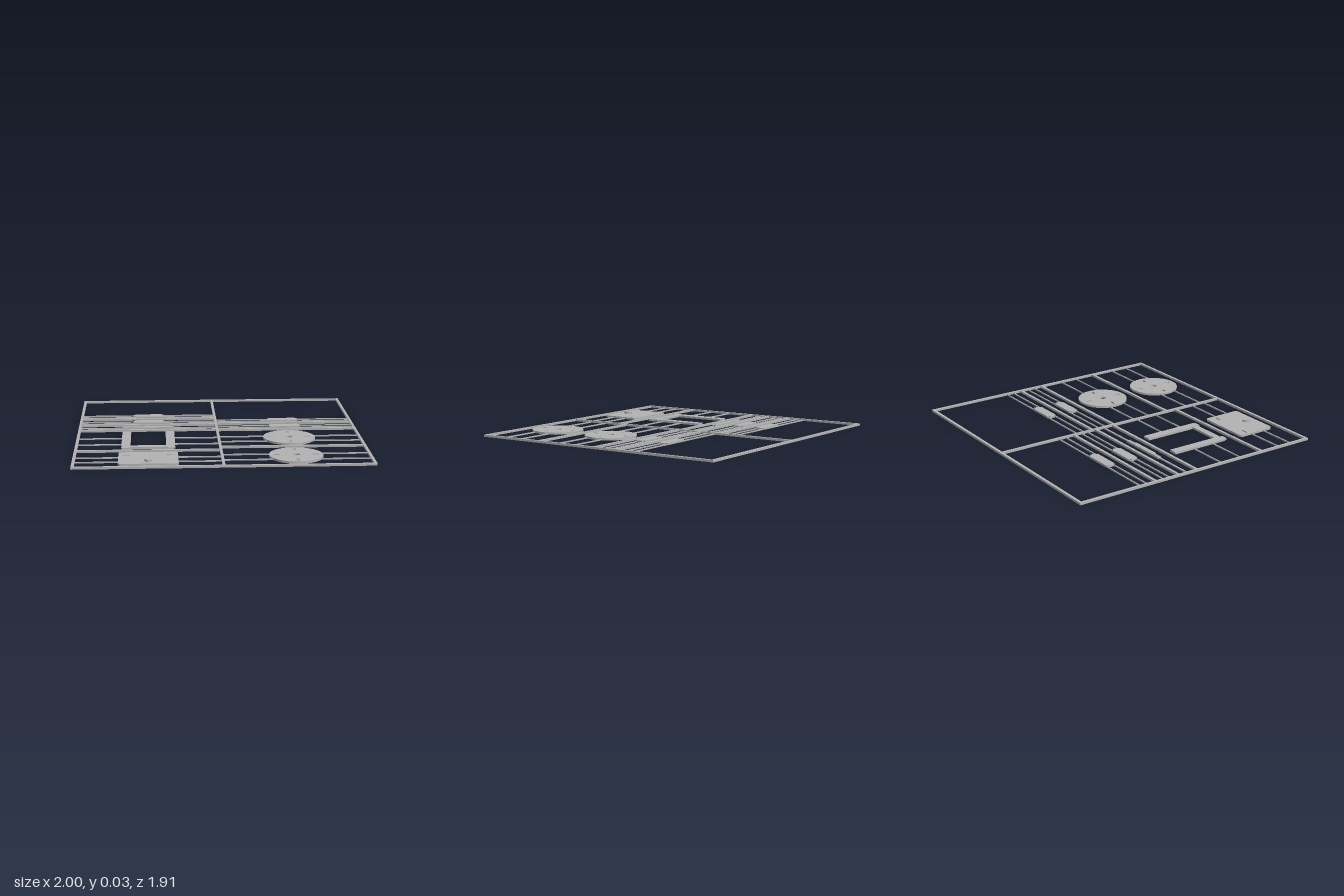
import * as THREE from 'three';

const T = 0.015; // sheet thickness

export function createModel() {
  const root = new THREE.Group();
  root.name = 'partsSheet';
  const grey = new THREE.MeshStandardMaterial({ color: 0xb3b3b3 });
  grey.name = 'plastic grey';

  const add = (name, geometry) => {
    const mesh = new THREE.Mesh(geometry, grey);
    mesh.name = name;
    root.add(mesh);
    return mesh;
  };
  // Box standing on y = 0, given by its x and z limits
  const slab = (name, x0, x1, z0, z1, h = T) =>
    add(name, new THREE.BoxGeometry(x1 - x0, h, z1 - z0)
      .translate((x0 + x1) / 2, h / 2, (z0 + z1) / 2));
  // Flat plate from a shape drawn with x right and y = -z
  const plate = (name, shape, x, z) => {
    const g = new THREE.ExtrudeGeometry(shape, { depth: T, bevelEnabled: false, curveSegments: 32 });
    return add(name, g.rotateX(-Math.PI / 2).translate(x, 0, z));
  };
  const rectHole = (x, y, w, h) => new THREE.Path([
    [-1, -1], [-1, 1], [1, 1], [1, -1], [-1, -1],
  ].map(([a, b]) => new THREE.Vector2(x + a * w / 2, y + b * h / 2)));

  // Outer frame and central divider
  slab('frameBack', -1, 1, -0.955, -0.935);
  slab('frameFront', -1, 1, 0.932, 0.952);
  slab('frameRight', -1, -0.981, -0.935, 0.932);
  slab('frameLeft', 0.981, 1, -0.935, 0.932);
  slab('divider', -0.013, 0.006, -0.935, 0.932);

  // Thick crossbars
  for (const z of [-0.36, -0.175, -0.025, 0.535]) slab('crossbar', -0.981, -0.013, z - 0.01, z + 0.01);
  for (const z of [-0.198, -0.013, 0.463]) slab('crossbar', 0.006, 0.981, z - 0.01, z + 0.01);

  // Thin runners from the frame up to each part: [z, part x0, part x1]
  const runner = (z, x0, x1, w = 0.008) => {
    const [a, b] = x0 < 0 ? [-0.981, -0.013] : [0.006, 0.981];
    slab('runner', a, x0, z - w / 2, z + w / 2, 0.009);
    slab('runner', x1, b, z - w / 2, z + w / 2, 0.009);
  };
  for (const z of [-0.48, -0.425, -0.293, -0.243]) runner(z, -0.59, -0.4);
  for (const z of [-0.32, -0.263, -0.133, -0.078]) runner(z, 0.4, 0.59);
  for (const z of [0.19, 0.355]) runner(z, -0.68, -0.315);
  for (const z of [0.695, 0.803]) runner(z, -0.697, -0.298);
  runner(-0.102, -0.68, -0.315, 0.012);

  // Small tabbed bars
  for (const [x, z] of [[-0.497, -0.452], [-0.497, -0.267], [0.492, -0.291], [0.492, -0.105]]) {
    slab('tabbedBar', x - 0.099, x + 0.099, z - 0.035, z + 0.035);
    for (const s of [-1, 1]) {
      const c = x + s * 0.105;
      slab('barTab', c - 0.007, c + 0.007, z - 0.021, z + 0.021);
    }
  }

  // Narrow stepped strip
  slab('strip', -0.68, -0.314, -0.118, -0.094);
  slab('stripStep', -0.612, -0.382, -0.094, -0.084);

  // U-shaped bracket with two feet
  const u = new THREE.Shape([
    [-0.682, 0.03], [-0.62, 0.03], [-0.62, 0.415], [-0.375, 0.415], [-0.375, 0.03], [-0.313, 0.03],
    [-0.313, 0.463], [-0.32, 0.463], [-0.32, 0.482], [-0.368, 0.482], [-0.368, 0.463],
    [-0.627, 0.463], [-0.627, 0.482], [-0.675, 0.482], [-0.675, 0.463], [-0.682, 0.463],
  ].map(([x, z]) => new THREE.Vector2(x, -z)));
  plate('bracket', u, 0, 0);

  // Rounded plate with two slots and a raised oval knob
  const w = 0.2, h = 0.145, r = 0.025;
  const p = new THREE.Shape();
  p.absarc(w - r, h - r, r, 0, Math.PI / 2);
  p.absarc(-w + r, h - r, r, Math.PI / 2, Math.PI);
  p.absarc(-w + r, -h + r, r, Math.PI, Math.PI * 1.5);
  p.absarc(w - r, -h + r, r, Math.PI * 1.5, Math.PI * 2);
  p.holes.push(rectHole(-0.149, 0.074, 0.054, 0.014), rectHole(0.149, 0.074, 0.054, 0.014));
  plate('roundedPlate', p, -0.497, 0.739);
  add('knob', new THREE.CylinderGeometry(1, 1, 0.014, 32).scale(0.024, 1, 0.031)
    .translate(-0.497, T + 0.007, 0.812));

  // Slotted discs and their runners
  const R = 0.182;
  for (const z of [0.227, 0.703]) {
    const d = new THREE.Shape();
    d.absarc(0, 0, R, 0, Math.PI * 2);
    const hole = new THREE.Path();
    hole.absarc(0, 0, 0.024, 0, Math.PI * 2, true);
    d.holes.push(hole);
    for (const s of [-1, 1]) {
      d.holes.push(rectHole(s * 0.13, 0, 0.044, 0.018), rectHole(0, s * 0.13, 0.018, 0.04));
    }
    plate('slottedDisc', d, 0.492, z);
    for (const dz of [-0.053, 0.08]) {
      const c = Math.sqrt(R * R - dz * dz) - 0.003;
      runner(z + dz, 0.492 - c, 0.492 + c);
    }
  }
  return root;
}
